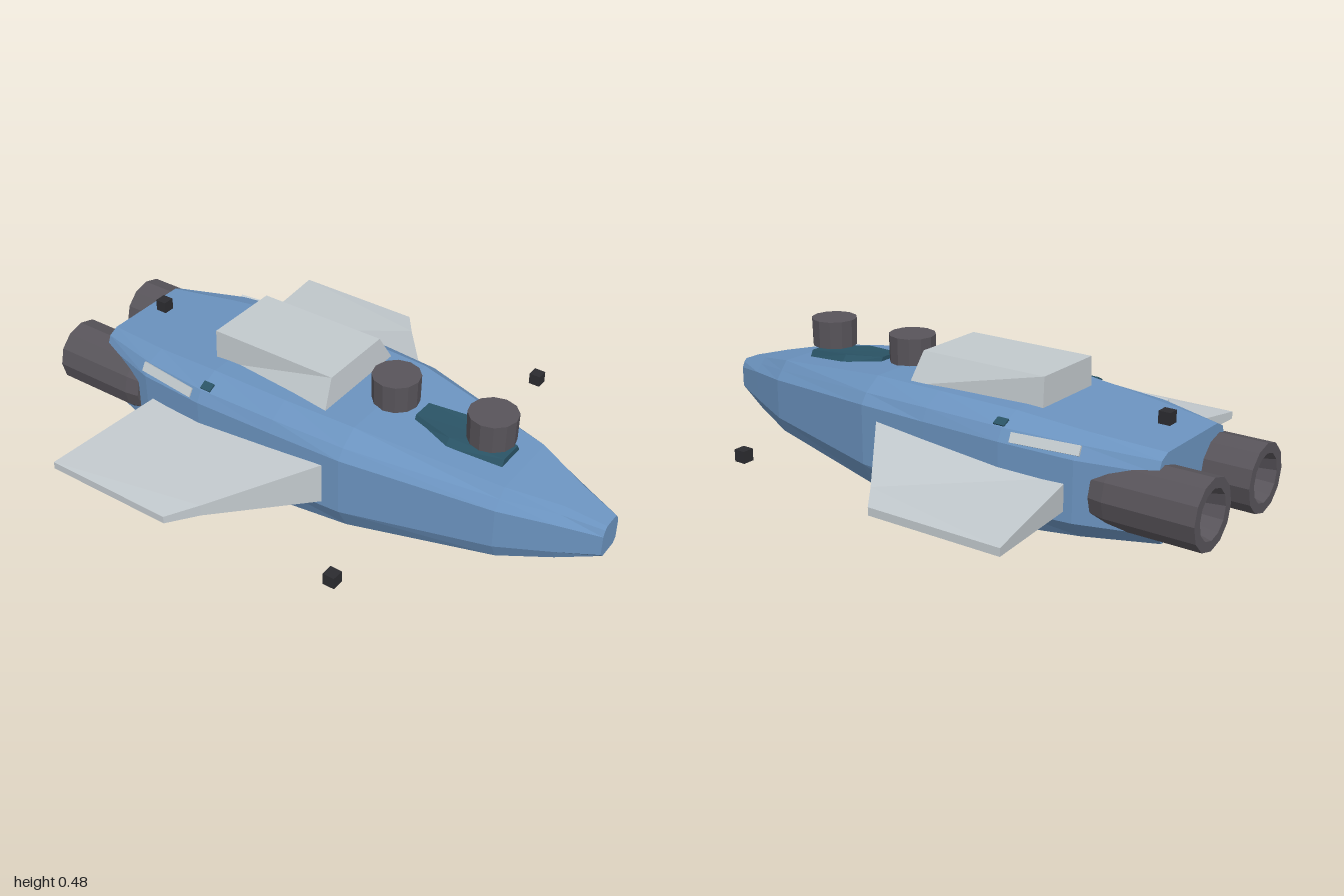
import * as THREE from 'three';

const mat = (name, color) => {
  const m = new THREE.MeshStandardMaterial({ color, flatShading: true });
  m.name = name;
  return m;
};

// Skin over rings of [x, y, z] points, each counter-clockwise seen from beyond the first ring
function loft(rings) {
  const pos = [];
  const tri = (...p) => p.forEach((v) => pos.push(...v));
  const n = rings[0].length;
  for (let i = 0; i < rings.length - 1; i++) {
    for (let j = 0; j < n; j++) {
      const k = (j + 1) % n;
      const a = rings[i][j], b = rings[i][k], c = rings[i + 1][j], d = rings[i + 1][k];
      tri(a, c, b);
      tri(b, c, d);
    }
  }
  const last = rings[rings.length - 1];
  for (let j = 1; j < n - 1; j++) {
    tri(rings[0][0], rings[0][j], rings[0][j + 1]);
    tri(last[0], last[j + 1], last[j]);
  }
  const g = new THREE.BufferGeometry();
  g.setAttribute('position', new THREE.Float32BufferAttribute(pos, 3));
  g.computeVertexNormals();
  return g;
}

export function createModel() {
  const model = new THREE.Group();
  model.name = 'spaceship';
  const blue = mat('hullBlue', 0x6b93bf);
  const grey = mat('lightGrey', 0xc2c9cd);
  const dark = mat('engineGrey', 0x58545a);
  const teal = mat('glassTeal', 0x2a5365);
  const black = mat('black', 0x2c2c30);

  const add = (name, geo, material, x = 0, y = 0, z = 0, parent = model) => {
    const m = new THREE.Mesh(geo, material);
    m.name = name;
    m.position.set(x, y, z);
    parent.add(m);
    return m;
  };

  // Hull stations: z, top (w, y), shoulder (w, y), side (w, high y, low y), bottom (w, y)
  const stations = [
    [0.99, 0.03, 0.26, 0.04, 0.25, 0.05, 0.23, 0.16, 0.035, 0.145],
    [0.86, 0.06, 0.295, 0.08, 0.275, 0.105, 0.25, 0.145, 0.09, 0.112],
    [0.69, 0.125, 0.33, 0.15, 0.30, 0.175, 0.27, 0.13, 0.15, 0.075],
    [0.2, 0.205, 0.388, 0.265, 0.345, 0.29, 0.31, 0.105, 0.245, 0.022],
    [-0.06, 0.215, 0.39, 0.28, 0.35, 0.30, 0.31, 0.1, 0.258, 0.002],
    [-0.35, 0.21, 0.385, 0.285, 0.35, 0.307, 0.31, 0.1, 0.258, 0.022],
    [-0.6, 0.19, 0.362, 0.255, 0.342, 0.28, 0.30, 0.1, 0.23, 0.042],
    [-0.84, 0.155, 0.342, 0.19, 0.325, 0.205, 0.29, 0.1, 0.17, 0.06],
  ];
  const rings = stations.map(([z, tw, ty, sw, sy, w, hi, lo, bw, by]) => {
    const half = [[bw, by], [w, lo], [w, hi], [sw, sy], [tw, ty]];
    return [
      ...half.map(([x, y]) => [x, y, z]),
      ...half.slice().reverse().map(([x, y]) => [-x, y, z]),
    ];
  });
  add('hull', loft(rings), blue);

  // Dorsal block, flaring toward the front of its base
  const block = [[0.135, 0.48, 0.065], [0.135, 0.48, -0.4]];
  const base = [[0.195, 0.375, 0.08], [0.14, 0.36, -0.4]];
  const square = ([f, b]) => [f, b, [-b[0], b[1], b[2]], [-f[0], f[1], f[2]]];
  add('dorsalBlock', loft([square(block), square(base)]), grey);

  // Canopy: faceted glass following the hull slope
  const glass = (s, drop) => [
    [0.055, 0.64, 0.358], [0.09, 0.46, 0.378], [0.05, 0.32, 0.388],
    [-0.05, 0.32, 0.388], [-0.09, 0.46, 0.378], [-0.055, 0.64, 0.358],
  ].map(([x, z, y]) => [x * s, y - drop, z]);
  add('canopy', loft([glass(0.75, 0), glass(1, 0.025), glass(1, 0.05)]), teal);

  // Turret drums
  for (const z of [0.57, 0.22]) {
    add('turret', new THREE.CylinderGeometry(0.08, 0.078, 0.095, 12), dark, 0, 0.4325, z);
  }

  // Wing outline: x, z, upper y, lower y
  const wing = [
    [0.6, -0.1, 0.2, 0.16], [0.695, -0.17, 0.186, 0.16], [0.695, -0.635, 0.186, 0.16],
    [0.24, -0.565, 0.225, 0.13], [0.27, 0.155, 0.272, 0.118],
  ];
  const wingGeo = loft([
    wing.map(([x, z, t]) => [x, t, z]),
    wing.map(([x, z, , b]) => [x, b, z]),
  ]);

  // Hollow engine barrel with a recessed exhaust
  const profile = [
    [0, 0], [0.105, 0], [0.113, 0.05], [0.113, 0.35], [0.08, 0.35], [0.055, 0.24], [0, 0.24],
  ].map(([r, h]) => new THREE.Vector2(r, h));
  const engineGeo = new THREE.LatheGeometry(profile, 12).rotateX(-Math.PI / 2);

  const cube = new THREE.BoxGeometry(0.04, 0.04, 0.04);
  for (const s of [1, -1]) {
    const side = new THREE.Group();
    side.name = s > 0 ? 'leftSide' : 'rightSide';
    side.scale.x = s;
    model.add(side);
    add('wing', wingGeo, grey, 0, 0, 0, side);
    add('engine', engineGeo, dark, 0.172, 0.195, -0.65, side);
    add('sideMarker', cube, black, 0.617, 0.19, 0.41, side);
    // Shoulder panel and small window
    const panel = add('shoulderPanel', new THREE.BoxGeometry(0.009, 0.032, 0.23), grey, 0.279, 0.328, -0.5, side);
    panel.rotation.set(0, 0.12, 0.5);
    const port = add('shoulderWindow', new THREE.BoxGeometry(0.009, 0.03, 0.04), teal, 0.268, 0.359, -0.335, side);
    port.rotation.z = 1.08;
  }
  add('rearMarker', cube, black, 0, 0.388, -0.75);

  return model;
}
